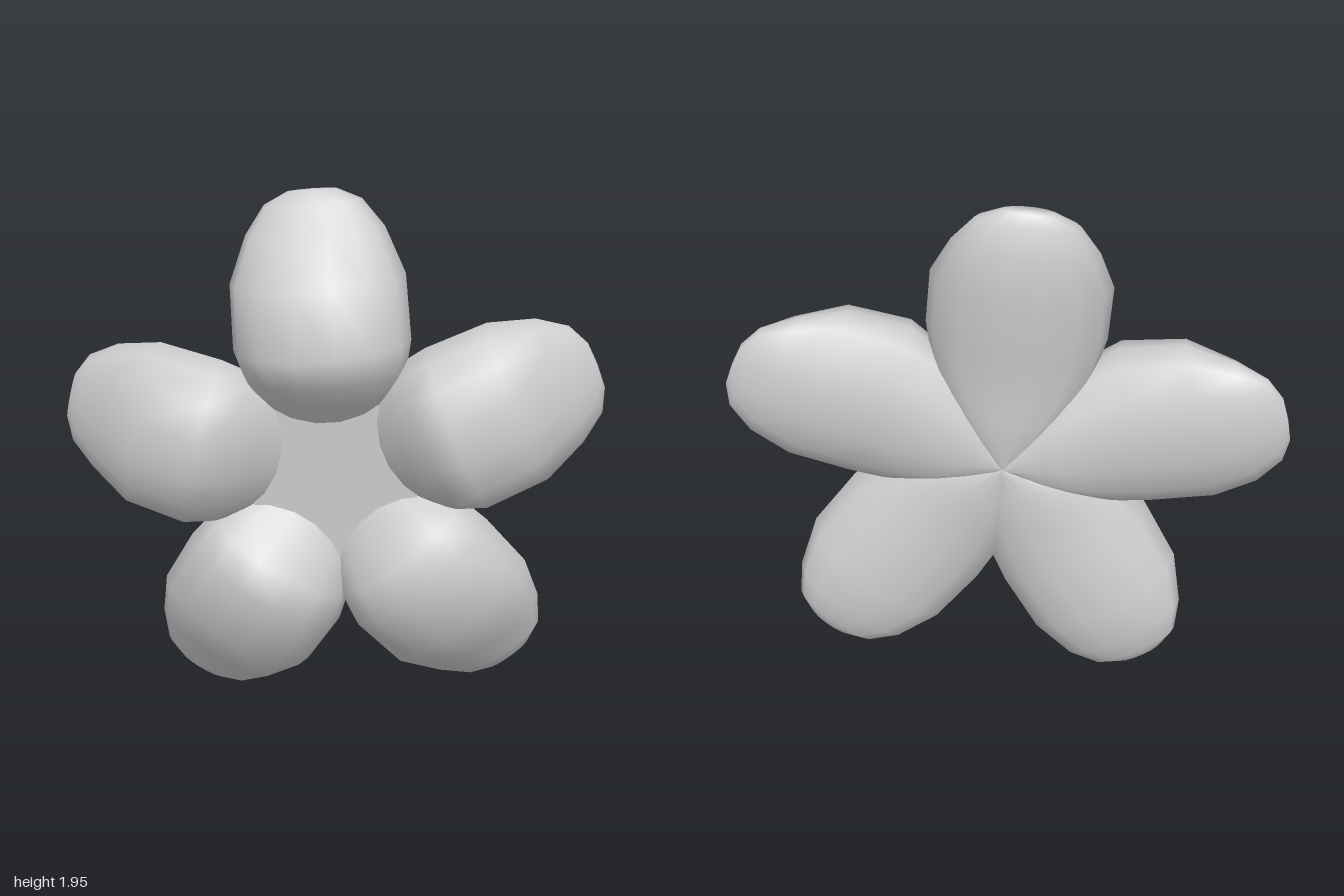
import * as THREE from 'three';

const SIDES = 14;

// Petal cross-sections from root to tip: [radius, half width, front z, back z]
const SECTIONS = [
  [-0.01, 0, -0.16, -0.16],
  [0.02, 0.03, -0.12, -0.175],
  [0.12, 0.13, -0.05, -0.185],
  [0.2, 0.195, 0.02, -0.19],
  [0.28, 0.25, 0.10, -0.19],
  [0.38, 0.295, 0.19, -0.195],
  [0.49, 0.32, 0.24, -0.205],
  [0.72, 0.315, 0.17, -0.228],
  [0.88, 0.25, 0.02, -0.215],
  [0.98, 0.175, -0.065, -0.18],
  [1.02, 0.09, -0.1, -0.16],
  [1.025, 0, -0.135, -0.135],
];

// Closed petal lying along +x, lofted through oval sections
function petalGeometry() {
  const positions = [];
  const index = [];
  SECTIONS.forEach(([r, w, front, back], i) => {
    const mid = back + 0.46 * (front - back);
    for (let j = 0; j < SIDES; j++) {
      const t = (j / SIDES) * Math.PI * 2;
      const s = Math.sin(t);
      positions.push(r, w * Math.cos(t), mid + s * (s > 0 ? front - mid : mid - back));
      if (i === SECTIONS.length - 1) continue;
      const a = i * SIDES + j;
      const d = i * SIDES + ((j + 1) % SIDES);
      const b = a + SIDES;
      const c = d + SIDES;
      if (i > 0) index.push(a, d, b);
      if (i < SECTIONS.length - 2) index.push(d, c, b);
      else if (i === 0) index.push(d, c, b);
    }
  });
  const geometry = new THREE.BufferGeometry();
  geometry.setAttribute('position', new THREE.Float32BufferAttribute(positions, 3));
  geometry.setIndex(index);
  geometry.computeVertexNormals();
  return geometry;
}

export function createModel() {
  const flower = new THREE.Group();
  flower.name = 'flower';
  const material = new THREE.MeshStandardMaterial({ color: 0xcccccc });

  // Five petals spread evenly around the centre
  const petal = petalGeometry();
  for (let i = 0; i < 5; i++) {
    const mesh = new THREE.Mesh(petal, material);
    mesh.name = 'petal';
    mesh.rotation.z = THREE.MathUtils.degToRad(95 + i * 72);
    flower.add(mesh);
  }

  // Flat recessed centre between the petals
  const discMaterial = material.clone();
  discMaterial.side = THREE.DoubleSide;
  const disc = new THREE.Mesh(new THREE.CircleGeometry(0.32, 20), discMaterial);
  disc.name = 'flowerCentre';
  disc.position.z = 0.02;
  flower.add(disc);

  // Stand the model on the ground, centred
  flower.updateMatrixWorld(true);
  const box = new THREE.Box3().setFromObject(flower, true);
  const centre = box.getCenter(new THREE.Vector3());
  for (const part of flower.children) {
    part.position.x -= centre.x;
    part.position.y -= box.min.y;
    part.position.z -= centre.z;
  }
  return flower;
}
